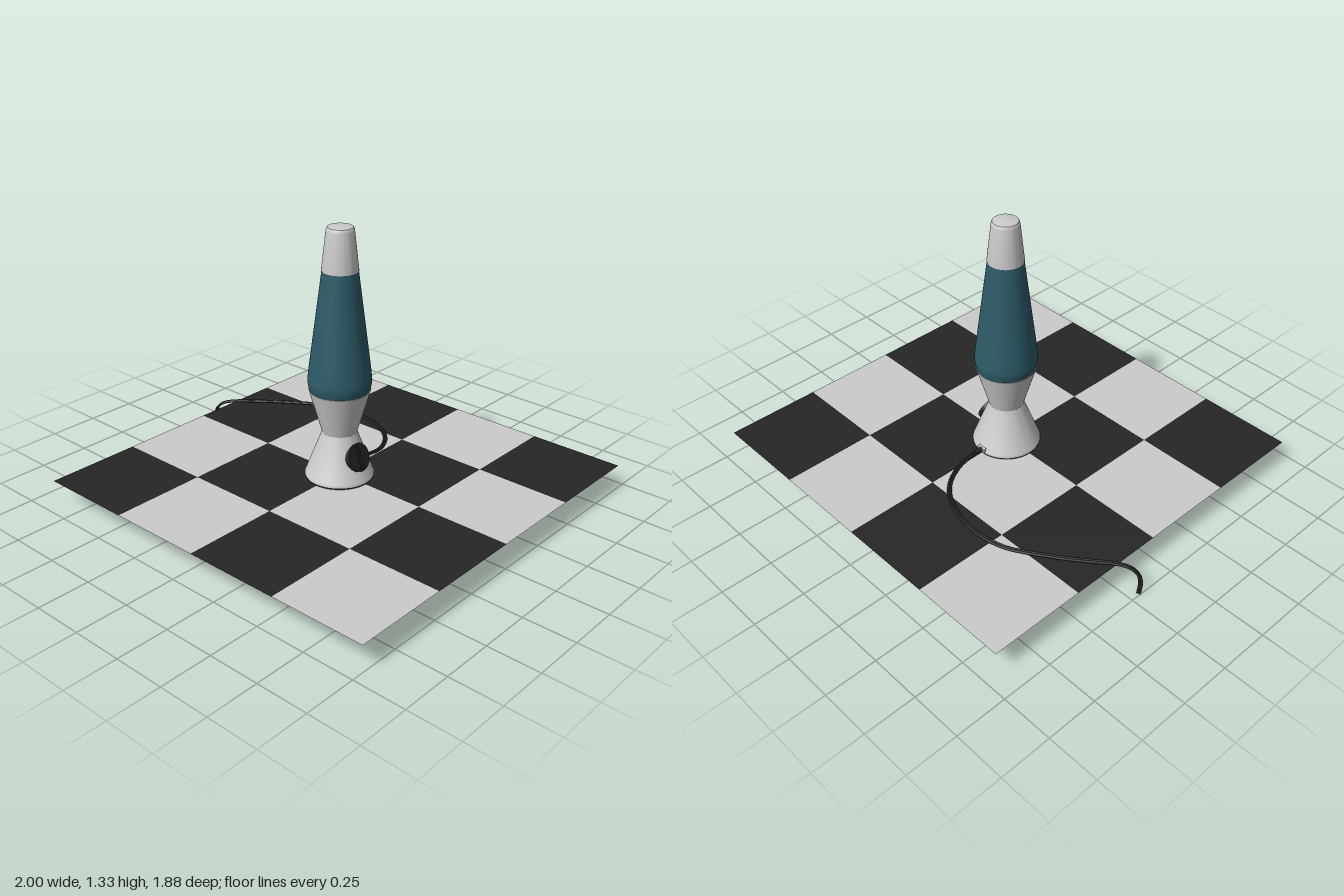
import * as THREE from 'three';
import { toCreasedNormals } from 'three/addons/utils/BufferGeometryUtils.js';

const CX = 0.055; // lamp axis
const FLOOR = 0.122;

const paint = (color, side = THREE.FrontSide) =>
  new THREE.MeshStandardMaterial({ color, side });

function add(parent, name, geometry, material) {
  const mesh = new THREE.Mesh(geometry, material);
  mesh.name = name;
  parent.add(mesh);
  return mesh;
}

// Revolved part from [radius, height] pairs, bottom to top, with sharp creases
function turned(profile) {
  const points = profile.map(([r, y]) => new THREE.Vector2(r, y));
  return toCreasedNormals(new THREE.LatheGeometry(points, 64), 0.5);
}

export function createModel() {
  const model = new THREE.Group();
  const grey = paint(0xcccccc);
  const black = paint(0x222222);
  const teal = paint(0x2d5b68);

  // Chequered floor
  const floor = new THREE.Group();
  floor.name = 'floor';
  model.add(floor);
  const light = paint(0xcccccc, THREE.DoubleSide);
  const dark = paint(0x262626, THREE.DoubleSide);
  const tile = 1.885 / 4;
  const tileGeometry = new THREE.PlaneGeometry(tile, tile).rotateX(-Math.PI / 2);
  for (let row = 0; row < 4; row++) {
    for (let col = 0; col < 4; col++) {
      const mesh = add(floor, 'floorTile', tileGeometry, (row + col) % 2 ? dark : light);
      mesh.position.set(CX + (col - 1.5) * tile, FLOOR, (row - 1.5) * tile);
    }
  }

  // Lamp body
  const lamp = new THREE.Group();
  lamp.name = 'lamp';
  lamp.position.x = CX;
  model.add(lamp);
  add(lamp, 'footPad', turned([[0, 0.118], [0.16, 0.118], [0.161, 0.132], [0, 0.132]]), black);
  add(lamp, 'base', turned([
    [0, 0.13], [0.163, 0.13], [0.163, 0.136], [0.16, 0.142], [0.085, 0.34],
    [0.082, 0.35], [0.085, 0.36], [0.143, 0.562], [0.138, 0.562], [0, 0.555],
  ]), grey);
  add(lamp, 'globe', turned([
    [0, 0.558], [0.139, 0.558], [0.142, 0.57], [0.146, 0.59], [0.148, 0.605],
    [0.147, 0.62], [0.142, 0.665], [0.082, 1.132], [0, 1.132],
  ]), teal);
  add(lamp, 'cap', turned([
    [0, 1.13], [0.084, 1.13], [0.084, 1.134], [0.064, 1.312], [0.062, 1.322],
    [0.058, 1.328], [0.052, 1.33], [0, 1.33],
  ]), grey);

  // Dial set into the sloping side of the base
  const dial = new THREE.Group();
  dial.name = 'dial';
  dial.position.set(0.117, 0.247, 0);
  dial.rotation.z = 0.36;
  lamp.add(dial);
  const disc = new THREE.CylinderGeometry(0.068, 0.07, 0.05, 40).rotateZ(-Math.PI / 2);
  add(dial, 'dialDisc', toCreasedNormals(disc, 0.5), black).position.x = -0.02;
  add(dial, 'dialGrip', new THREE.BoxGeometry(0.012, 0.12, 0.016), black).position.x = 0.007;

  // Cord grommet at the back
  add(lamp, 'cordCollar', new THREE.BoxGeometry(0.045, 0.02, 0.03), grey).position.set(0, 0.146, -0.155);
  const relief = new THREE.CylinderGeometry(0.008, 0.013, 0.04, 16).rotateX(-Math.PI / 2);
  add(lamp, 'strainRelief', relief, black).position.set(0, 0.146, -0.185);

  // Twin-core flat cord across the floor and over its edge
  const path = new THREE.CatmullRomCurve3([
    [0.055, 0.146, -0.17], [0.056, 0.142, -0.22], [0.045, 0.132, -0.315],
    [-0.02, 0.127, -0.43], [-0.14, 0.127, -0.51], [-0.315, 0.127, -0.545],
    [-0.475, 0.127, -0.52], [-0.66, 0.127, -0.41], [-0.8, 0.127, -0.305],
    [-0.885, 0.126, -0.235], [-0.94, 0.112, -0.198], [-0.972, 0.083, -0.184],
    [-0.986, 0.045, -0.188], [-0.992, 0.002, -0.203],
  ].map((p) => new THREE.Vector3(...p)));
  const up = new THREE.Vector3(0, 1, 0);
  const cord = new THREE.Group();
  cord.name = 'cord';
  model.add(cord);
  for (const side of [-1, 1]) {
    const strand = [];
    for (let i = 0; i <= 80; i++) {
      const across = path.getTangentAt(i / 80).cross(up).normalize();
      strand.push(path.getPointAt(i / 80).addScaledVector(across, side * 0.005));
    }
    const curve = new THREE.CatmullRomCurve3(strand);
    add(cord, 'cordStrand', new THREE.TubeGeometry(curve, 160, 0.0058, 10), black);
    const end = add(cord, 'cordEnd', new THREE.SphereGeometry(0.0058, 10, 6), black);
    end.position.copy(strand[80]).y += 0.004;
  }

  return model;
}
